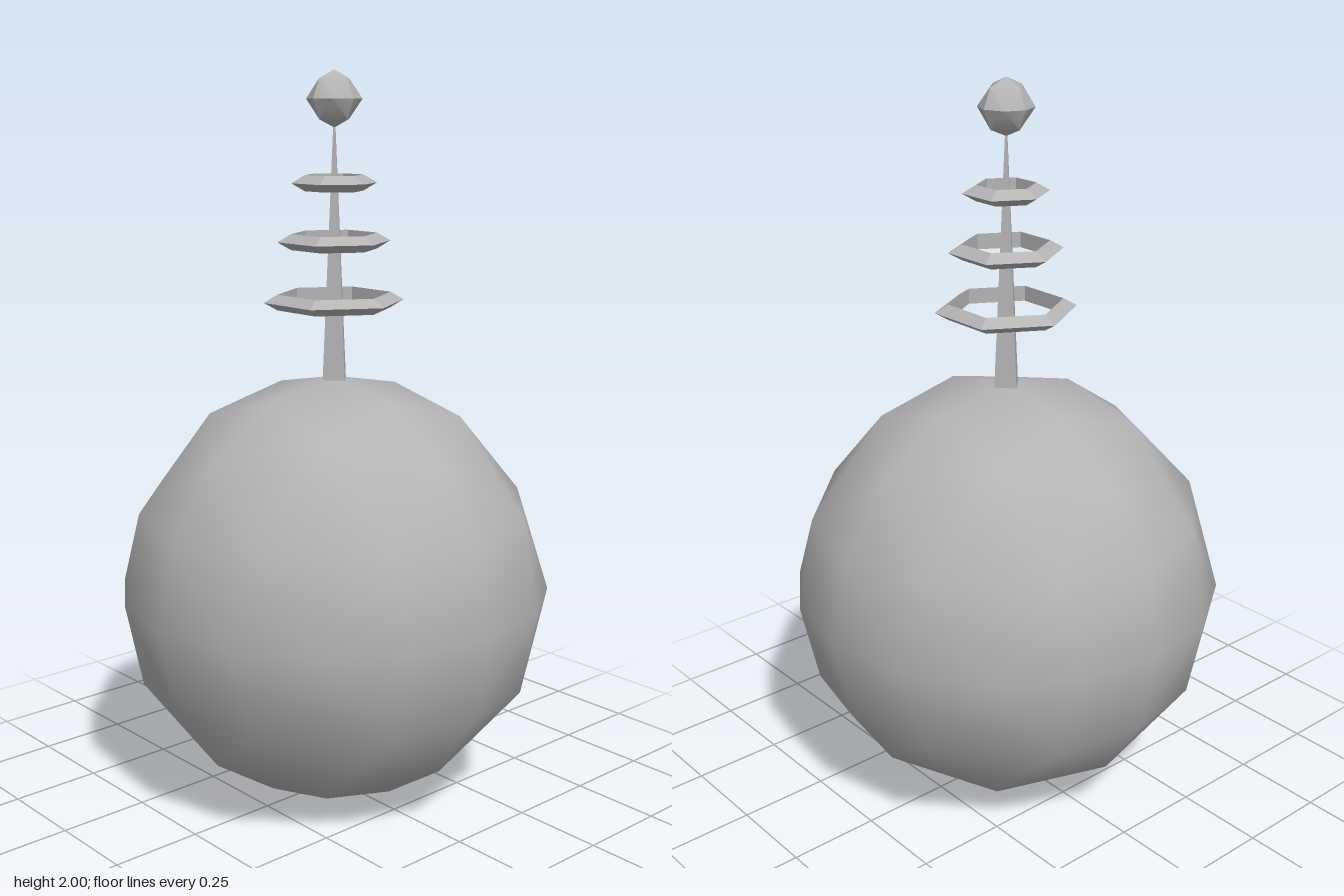
import * as THREE from 'three';
import { toCreasedNormals } from 'three/addons/utils/BufferGeometryUtils.js';

// Ball made by halving the edges of an octahedron several times
function octaBall(radius, levels) {
  const points = [];
  const mid = (a, b) => a.clone().add(b).normalize();
  const split = (a, b, c, n) => {
    if (n === 0) {
      points.push(a, b, c);
      return;
    }
    const ab = mid(a, b), bc = mid(b, c), ca = mid(c, a);
    split(a, ab, ca, n - 1);
    split(ab, b, bc, n - 1);
    split(ca, bc, c, n - 1);
    split(ab, bc, ca, n - 1);
  };
  for (const sx of [1, -1]) for (const sy of [1, -1]) for (const sz of [1, -1]) {
    const x = new THREE.Vector3(sx, 0, 0);
    const y = new THREE.Vector3(0, sy, 0);
    const z = new THREE.Vector3(0, 0, sz);
    if (sx * sy * sz > 0) split(x, y, z, levels);
    else split(x, z, y, levels);
  }
  const geometry = new THREE.BufferGeometry().setFromPoints(points);
  geometry.setAttribute('normal', geometry.attributes.position.clone());
  geometry.scale(radius, radius, radius);
  return geometry;
}

export function createModel() {
  const model = new THREE.Group();
  const grey = new THREE.MeshStandardMaterial({ color: 0xb4b4b4 });
  grey.name = 'grey';

  const add = (name, geometry, y) => {
    const mesh = new THREE.Mesh(geometry, grey);
    mesh.name = name;
    mesh.position.y = y;
    model.add(mesh);
  };

  // Large smooth body
  add('body', octaBall(0.595, 2), 0.596);

  // Four-sided tapering mast
  const mast = new THREE.ConeGeometry(0.043, 0.76, 4);
  add('mast', toCreasedNormals(mast, 0.5), 1.55);

  // Three floating hexagonal rings with a triangular section
  const tube = 0.0245;
  [[0.192, 1.395], [0.154, 1.555], [0.116, 1.709]].forEach(([outer, y], i) => {
    const ring = new THREE.TorusGeometry(outer - tube, tube, 3, 6);
    ring.rotateZ(Math.PI / 6).rotateX(-Math.PI / 2);
    add('ring' + (i + 1), toCreasedNormals(ring, 0.3), y);
  });

  // Faceted knob on the tip
  add('knob', toCreasedNormals(octaBall(0.074, 1), 0.6), 1.926);

  return model;
}
